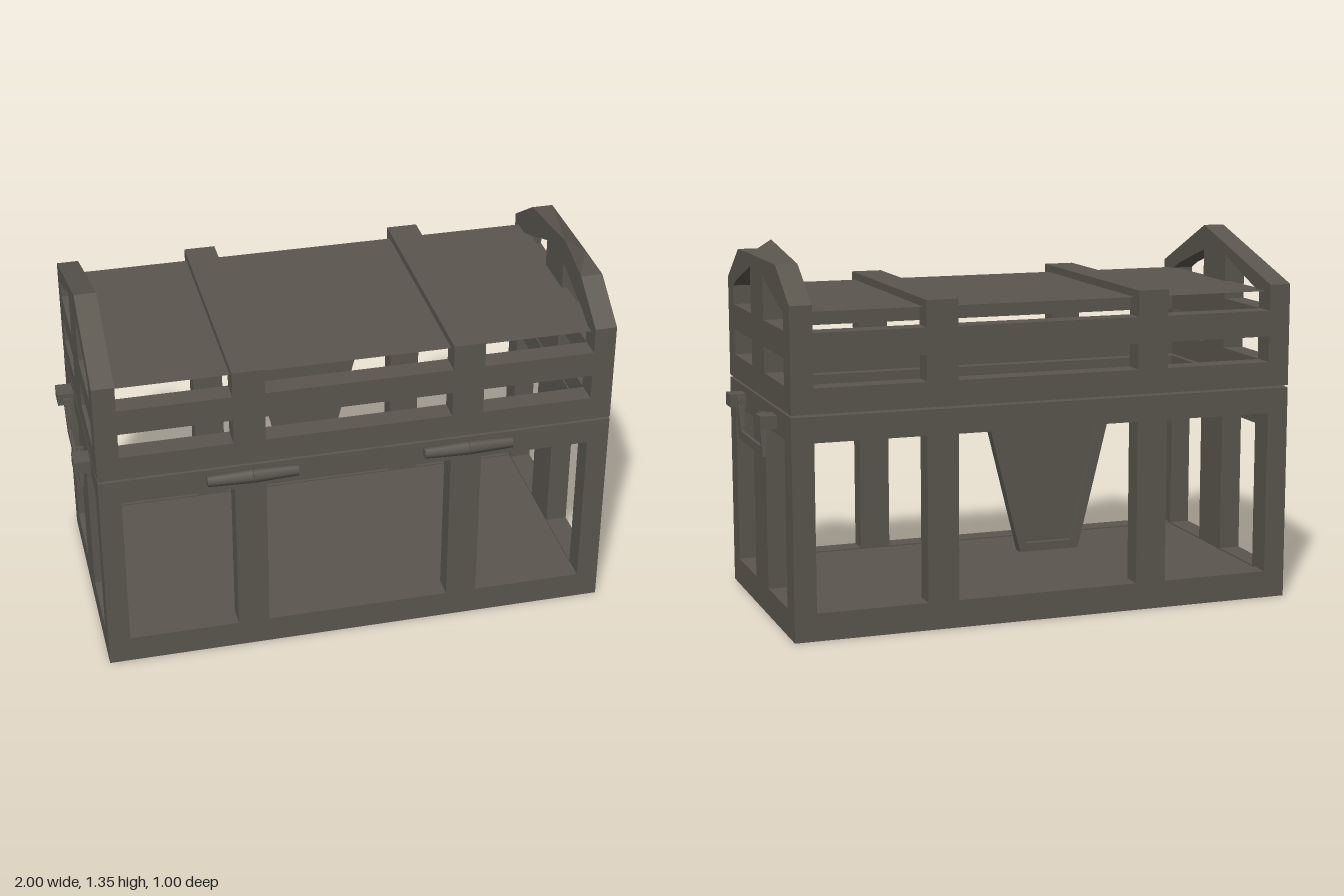
import * as THREE from 'three';

// Double sided because the roof sheet is open
const agedIron = new THREE.MeshStandardMaterial({ color: 0x5a564e, side: THREE.DoubleSide });
agedIron.name = 'agedIron';

const X = 0.94, ZF = 0.44, ZB = -0.5, T = 0.08; // outer half width, front, back, frame thickness
const ZC = (ZF + ZB) / 2;

function add(group, name, geometry, x = 0, y = 0, z = 0) {
  const mesh = new THREE.Mesh(geometry, agedIron);
  mesh.name = name;
  mesh.position.set(x, y, z);
  group.add(mesh);
  return mesh;
}

// Box given by its limits
function block(group, name, x0, x1, y0, y1, z0, z1) {
  return add(group, name, new THREE.BoxGeometry(x1 - x0, y1 - y0, z1 - z0),
    (x0 + x1) / 2, (y0 + y1) / 2, (z0 + z1) / 2);
}

const rect = (a, b, c, d) => [[a, c], [b, c], [b, d], [a, d]];
const toPoints = (list) => list.map(([a, b]) => new THREE.Vector2(a, b));

// Flat plate with openings, extruded along z
function plate(outline, holes, depth) {
  const shape = new THREE.Shape(toPoints(outline));
  holes.forEach((h) => shape.holes.push(new THREE.Path(toPoints(h))));
  return new THREE.ExtrudeGeometry(shape, { depth, bevelEnabled: false });
}

// Plate drawn in (z, y) that runs from its position towards -x
const sidePlate = (outline, holes, depth) => plate(outline, holes, depth).rotateY(-Math.PI / 2);

export function createModel() {
  const chest = new THREE.Group();
  chest.name = 'chest';
  const body = new THREE.Group();
  body.name = 'body';
  const lid = new THREE.Group();
  lid.name = 'lid';
  chest.add(body, lid);

  // Floor
  block(body, 'floor', -X + 0.01, X - 0.01, 0, 0.095, ZB + 0.01, ZF - 0.01);

  // Open front and back frames of the body and lid
  const columns = [[-0.86, -0.455], [-0.34, 0.34], [0.455, 0.86]];
  for (const [side, z] of [['front', ZF - T], ['back', ZB]]) {
    add(body, side + 'Frame', plate(rect(-X, X, 0, 0.792),
      columns.map(([a, b]) => rect(a, b, 0.1, 0.7)), T), 0, 0, z);
    add(lid, side + 'LidFrame', plate(rect(-X, X, 0.8, 1.08),
      columns.map(([a, b]) => rect(a, b, 0.89, 0.985)), T), 0, 0, z);
    for (const s of [-1, 1]) {
      block(lid, side + 'LidPost', s * 0.3975 - 0.0575, s * 0.3975 + 0.0575, 1.08, 1.16, z, z + T);
    }
  }

  // Upper edge of each end arch, and the shared underside with its corner legs
  const roundedTop = [[ZF, 1.175], [0.26, 1.295], [0.07, 1.345], [-0.31, 1.295], [ZB, 1.175]];
  const pointedTop = [[ZF, 1.175], [0.07, 1.345], [ZB, 1.175]];
  const underside = [
    [ZB, 0.8], [-0.41, 0.8], [-0.41, 1.14], [-0.28, 1.185], [-0.12, 1.25], [0.07, 1.25],
    [0.3, 1.175], [0.35, 1.15], [0.35, 0.8], [ZF, 0.8],
  ];

  for (const s of [-1, 1]) {
    const name = s > 0 ? 'left' : 'right';
    const outerX = s > 0 ? X : -X + T;

    // End frames
    add(body, name + 'Frame', sidePlate(rect(ZB, ZF, 0, 0.792),
      [rect(-0.4, -0.12, 0.1, 0.7), rect(0.07, 0.35, 0.1, 0.7)], T), outerX);
    add(lid, name + 'LidFrame', sidePlate(rect(ZB, ZF, 0.8, 1.08),
      [rect(-0.41, -0.12, 0.89, 0.985), rect(0.065, 0.35, 0.89, 0.985)], T), outerX);
    block(lid, name + 'LidPost', outerX - T, outerX, 1.08, 1.255, -0.12, 0.07);

    const arch = sidePlate([...(s > 0 ? roundedTop : pointedTop), ...underside], [], T);
    if (s > 0) {
      // The outer edge of this arch is worn down to a flat top
      const p = arch.attributes.position;
      for (let i = 0; i < p.count; i++) {
        if (p.getY(i) > 1.32 && p.getX(i) > -0.01) p.setY(i, 1.297);
      }
      arch.computeVertexNormals();
    }
    add(lid, name + 'Arch', arch, outerX);

    // Strap across the top of the lid
    block(lid, name + 'Strap', s * 0.3975 - 0.0575, s * 0.3975 + 0.0575, 1.145, 1.175, ZB, ZF);

    // Hinge barrel in two halves that narrow slightly outward
    for (const h of [-1, 1]) {
      const barrel = new THREE.CylinderGeometry(h > 0 ? 0.02 : 0.026, h > 0 ? 0.026 : 0.02, 0.163, 6);
      barrel.rotateZ(-Math.PI / 2);
      add(body, name + 'Hinge', barrel, s * 0.395 + h * 0.0825, 0.767, 0.472);
    }

    // Handle brackets
    for (const [z0, z1] of [[0.175, 0.25], [-0.3, -0.225]]) {
      block(body, name + 'Bracket', s > 0 ? X - 0.01 : -1, s > 0 ? 1 : -X + 0.01, 0.72, 0.767, z0, z1);
    }

    // Swinging handle, thinner towards its bottom bar
    const handle = sidePlate([
      [0.15, 0.765], [0.14, 0.765], [0.13, 0.638], [-0.18, 0.638], [-0.188, 0.765], [-0.198, 0.765],
      [-0.213, 0.605], [0.163, 0.605],
    ], [], 0.03);
    const p = handle.attributes.position;
    for (let i = 0; i < p.count; i++) {
      const k = p.getY(i) < 0.65 ? 0.4 : 1;
      p.setX(i, s * 0.967 + (p.getX(i) + 0.015) * k);
    }
    handle.computeVertexNormals();
    add(body, name + 'Handle', handle);
    for (const z of [0.145, -0.2]) {
      const pin = new THREE.CylinderGeometry(0.014, 0.014, 0.026, 6).rotateX(Math.PI / 2);
      add(body, name + 'HandlePin', pin, s * 0.967, 0.745, z);
    }
  }

  // Thin roof sheet
  add(lid, 'roofSheet', new THREE.PlaneGeometry(1.76, 0.86).rotateX(-Math.PI / 2), 0, 1.147, ZC);

  // Tapered lock plate with a raised rim
  const lock = [[-0.235, 0.76], [-0.11, 0.255], [0.11, 0.255], [0.235, 0.76]];
  const inset = [[-0.19, 0.72], [-0.085, 0.285], [0.085, 0.285], [0.19, 0.72]];
  add(body, 'lockPlate', plate(lock, [], 0.02), 0, 0, -0.475);
  add(body, 'lockRim', plate(lock, [inset], 0.024), 0, 0, -0.498);

  return chest;
}
